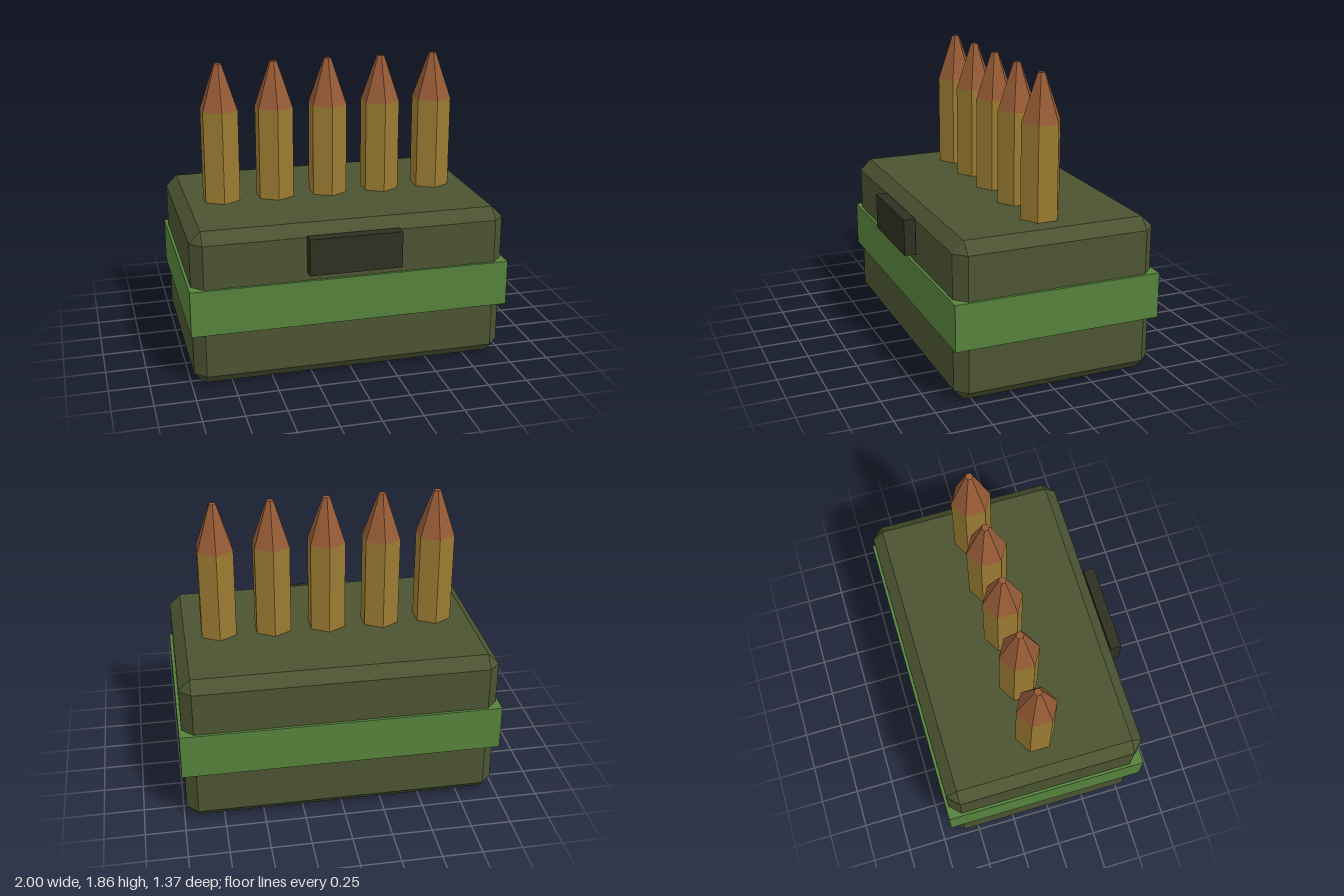
import * as THREE from 'three';
import { ConvexGeometry } from 'three/addons/geometries/ConvexGeometry.js';

const CENTER_Z = -0.03;

const paint = (color) => new THREE.MeshStandardMaterial({ color, flatShading: true });

function addMesh(parent, name, geometry, material, x, y, z) {
  const mesh = new THREE.Mesh(geometry, material);
  mesh.name = name;
  mesh.position.set(x, y, z);
  parent.add(mesh);
  return mesh;
}

// Box with every edge cut at 45 degrees and a small triangle at each corner
function chamferedBox(width, height, depth, cut) {
  const points = [];
  const [w, h, d] = [width / 2, height / 2, depth / 2];
  for (const sx of [-1, 1]) for (const sy of [-1, 1]) for (const sz of [-1, 1]) {
    points.push(
      new THREE.Vector3(sx * w, sy * (h - cut), sz * (d - cut)),
      new THREE.Vector3(sx * (w - cut), sy * h, sz * (d - cut)),
      new THREE.Vector3(sx * (w - cut), sy * (h - cut), sz * d)
    );
  }
  return new ConvexGeometry(points);
}

export function createModel() {
  const model = new THREE.Group();
  model.name = 'ammoBox';

  const olive = paint(0x4b5331);
  const green = paint(0x55823c);
  const dark = paint(0x2d3020);
  const brass = paint(0x9a7b32);
  const copper = paint(0x965a36);

  // Box body, surrounding band and front latch
  addMesh(model, 'boxBody', chamferedBox(1.965, 0.985, 1.275, 0.07), olive, 0, 0.4925, CENTER_Z);
  addMesh(model, 'band', new THREE.BoxGeometry(2, 0.288, 1.31), green, 0, 0.496, CENTER_Z);
  addMesh(model, 'latch', new THREE.BoxGeometry(0.576, 0.23, 0.072), dark, 0, 0.811, 0.648);

  // Row of five six-sided cartridges standing on the lid
  const casing = new THREE.CylinderGeometry(0.126, 0.126, 0.58, 6);
  const tip = new THREE.CylinderGeometry(0.024, 0.126, 0.29, 6);
  for (let i = 0; i < 5; i++) {
    const cartridge = new THREE.Group();
    cartridge.name = `cartridge${i + 1}`;
    cartridge.position.set((i - 2) * 0.347, 0.985, CENTER_Z);
    addMesh(cartridge, 'casing', casing, brass, 0, 0.29, 0);
    addMesh(cartridge, 'tip', tip, copper, 0, 0.725, 0);
    model.add(cartridge);
  }

  return model;
}
